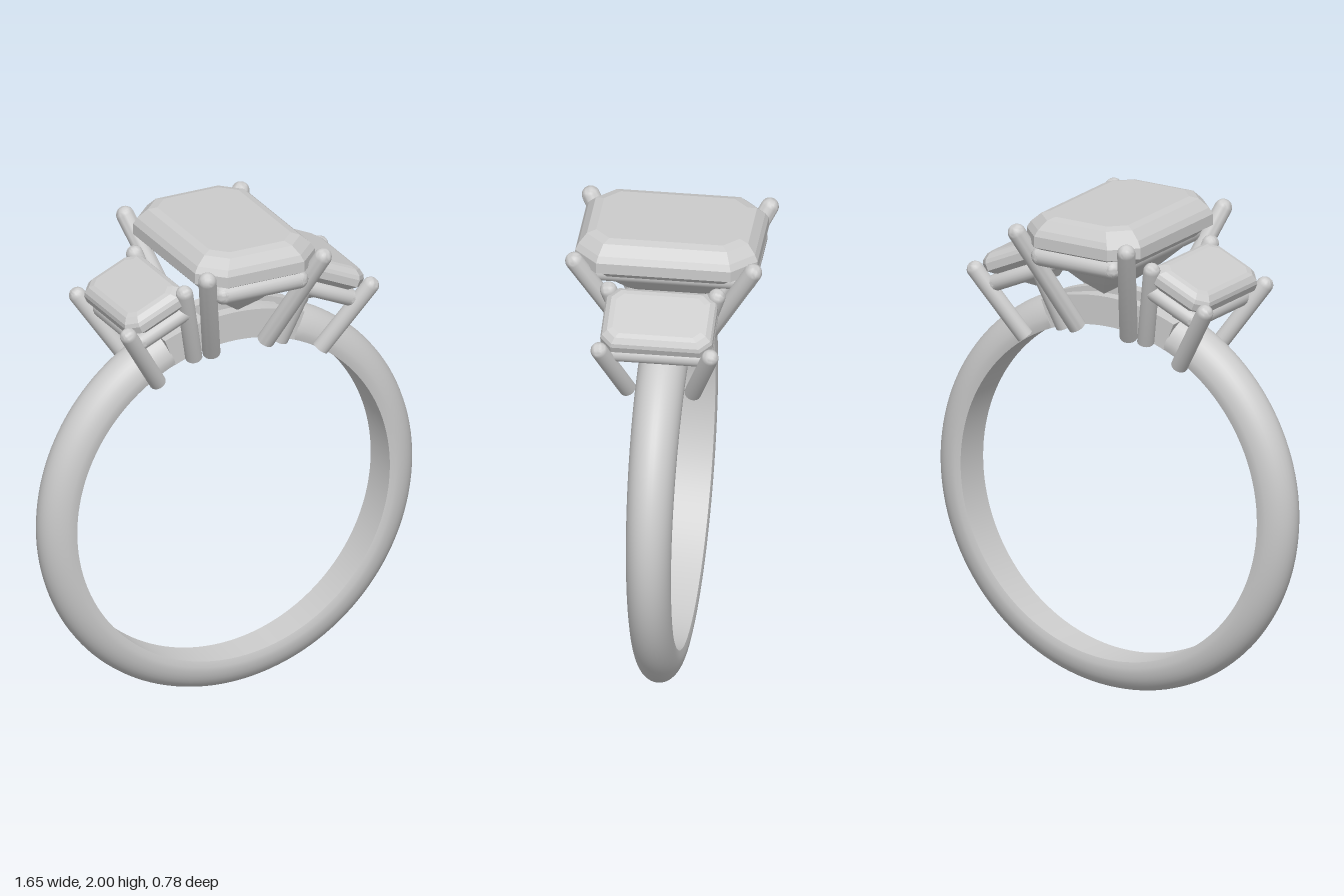
import * as THREE from 'three';
import { toCreasedNormals } from 'three/addons/utils/BufferGeometryUtils.js';

const metal = new THREE.MeshStandardMaterial({ color: 0xcccccc });
const facet = new THREE.MeshStandardMaterial({ color: 0xcccccc, flatShading: true });
const CY = 0.825; // height of the ring centre
const INNER = 0.691, OUTER = 0.823;

function add(parent, name, geometry, material = metal) {
  const mesh = new THREE.Mesh(geometry, material);
  mesh.name = name;
  parent.add(mesh);
  return mesh;
}

// Skin a list of closed loops (each an array of Vector3) and cap both ends
function loft(loops) {
  const n = loops[0].length, pos = [], idx = [];
  loops.forEach(l => l.forEach(p => pos.push(p.x, p.y, p.z)));
  for (let i = 0; i < loops.length - 1; i++) {
    for (let j = 0; j < n; j++) {
      const a = i * n + j, b = i * n + (j + 1) % n;
      idx.push(a, b, a + n, b, b + n, a + n);
    }
  }
  const last = (loops.length - 1) * n;
  for (let j = 1; j < n - 1; j++) {
    idx.push(0, j + 1, j, last, last + j, last + j + 1);
  }
  const g = new THREE.BufferGeometry();
  g.setAttribute('position', new THREE.Float32BufferAttribute(pos, 3));
  g.setIndex(idx);
  return g;
}

// D-shaped band, slightly wider towards the top, open under the setting
function shankGeometry() {
  const loops = [], start = 0.385, steps = 120;
  for (let i = 0; i <= steps; i++) {
    const t = start + (2 * Math.PI - 2 * start) * i / steps;
    const w = 0.089 + 0.009 * Math.cos(t);
    const loop = [];
    const put = (r, z) => loop.push(new THREE.Vector3(r * Math.sin(t), CY + r * Math.cos(t), z));
    put(INNER, -w * 0.93);
    for (let k = 0; k <= 18; k++) {
      const a = -Math.PI / 2 + Math.PI * k / 18;
      put(0.715 + (OUTER - 0.715) * Math.cos(a), w * Math.sin(a));
    }
    put(INNER, w * 0.93);
    loops.push(loop);
  }
  return toCreasedNormals(loft(loops), 0.7);
}

// Step-cut stone from levels [y, half width, half depth, corner cut], bottom to top
function gemGeometry(levels) {
  return loft(levels.map(([y, x, z, c]) => [
    [x, z - c], [x, c - z], [x - c, -z], [c - x, -z],
    [-x, c - z], [-x, z - c], [c - x, z], [x - c, z],
  ].map(([px, pz]) => new THREE.Vector3(px, y, pz))));
}

// Round wire between two points; the start is flat or domed, the end is domed
function wire(parent, name, a, b, r, domedStart = false) {
  const from = new THREE.Vector3(...a), to = new THREE.Vector3(...b);
  const dir = to.clone().sub(from), len = dir.length(), pts = [];
  const dome = (y, s) => {
    for (let i = 0; i <= 6; i++) {
      const q = (s < 0 ? i - 6 : i) * Math.PI / 12;
      pts.push(new THREE.Vector2(Math.max(0, r * Math.cos(q)), y + r * Math.sin(q)));
    }
  };
  if (domedStart) dome(0, -1);
  else pts.push(new THREE.Vector2(0, 0), new THREE.Vector2(r, 0));
  dome(len, 1);
  const mesh = add(parent, name, toCreasedNormals(new THREE.LatheGeometry(pts, 20), 0.7));
  mesh.position.copy(from);
  mesh.quaternion.setFromUnitVectors(new THREE.Vector3(0, 1, 0), dir.normalize());
}

// Four bars around a stone, under its girdle
function basket(parent, y, x, z, r) {
  for (const s of [-1, 1]) {
    wire(parent, 'basketBar', [-x, y, s * z], [x, y, s * z], r, true);
    wire(parent, 'basketBar', [s * x, y, -z], [s * x, y, z], r, true);
  }
}

// Curved block following the ring, between angles a and b from the top
function arcBlock(parent, name, a, b, z0, z1, outer) {
  const shape = new THREE.Shape();
  shape.absarc(0, 0, outer, Math.PI / 2 - b, Math.PI / 2 - a, false);
  shape.absarc(0, 0, INNER, Math.PI / 2 - a, Math.PI / 2 - b, true);
  shape.closePath();
  const g = new THREE.ExtrudeGeometry(shape, { depth: z1 - z0, bevelEnabled: false, curveSegments: 24 });
  add(parent, name, toCreasedNormals(g, 0.5)).position.set(0, CY, z0);
}

export function createModel() {
  const ring = new THREE.Group();
  ring.name = 'ring';
  add(ring, 'shank', shankGeometry());

  // Pierced bridge under the stones: two rails and their cross bars
  const bridge = new THREE.Group();
  bridge.name = 'bridge';
  ring.add(bridge);
  arcBlock(bridge, 'bridgeRail', -0.39, 0.39, 0.045, 0.093, 0.812);
  arcBlock(bridge, 'bridgeRail', -0.39, 0.39, -0.093, -0.045, 0.812);
  for (const t of [-0.225, 0.225]) arcBlock(bridge, 'crossBar', t - 0.09, t + 0.09, -0.088, 0.088, 0.79);

  // Centre stone and its setting
  const centre = new THREE.Group();
  centre.name = 'centreSetting';
  ring.add(centre);
  add(centre, 'centreStone', gemGeometry([
    [1.66, 0.004, 0.12, 0.002],
    [1.725, 0.09, 0.2, 0.035],
    [1.79, 0.16, 0.265, 0.06],
    [1.87, 0.235, 0.335, 0.085],
    [1.885, 0.265, 0.362, 0.095],
    [1.93, 0.265, 0.362, 0.095],
    [1.955, 0.25, 0.35, 0.09],
    [1.99, 0.212, 0.32, 0.075],
    [2.0, 0.18, 0.285, 0.06],
  ]), facet);
  basket(centre, 1.84, 0.165, 0.318, 0.04);
  for (const sx of [-1, 1]) {
    for (const sz of [-1, 1]) {
      wire(centre, 'centreProng', [sx * 0.12, 1.505, sz * 0.125], [sx * 0.255, 1.93, sz * 0.355], 0.036);
    }
  }

  // Side stones, tilted outwards
  for (const s of [-1, 1]) {
    const side = new THREE.Group();
    side.name = s > 0 ? 'leftSetting' : 'rightSetting';
    ring.add(side);
    const head = new THREE.Group();
    head.name = 'sideHead';
    head.position.set(s * 0.392, 1.752, 0);
    head.rotation.z = -s * 0.42;
    side.add(head);
    add(head, 'sideStone', gemGeometry([
      [-0.14, 0.004, 0.08, 0.002],
      [-0.07, 0.085, 0.165, 0.035],
      [-0.015, 0.142, 0.222, 0.045],
      [0.015, 0.142, 0.222, 0.045],
      [0.03, 0.135, 0.215, 0.042],
      [0.047, 0.115, 0.196, 0.035],
      [0.052, 0.095, 0.175, 0.028],
    ]), facet);
    basket(head, -0.07, 0.105, 0.185, 0.034);
    for (const sz of [-1, 1]) {
      wire(side, 'outerProng', [s * 0.36, 1.425, sz * 0.13], [s * 0.535, 1.695, sz * 0.22], 0.034);
      wire(side, 'innerProng', [s * 0.19, 1.49, sz * 0.11], [s * 0.285, 1.825, sz * 0.215], 0.034);
    }
  }
  return ring;
}
